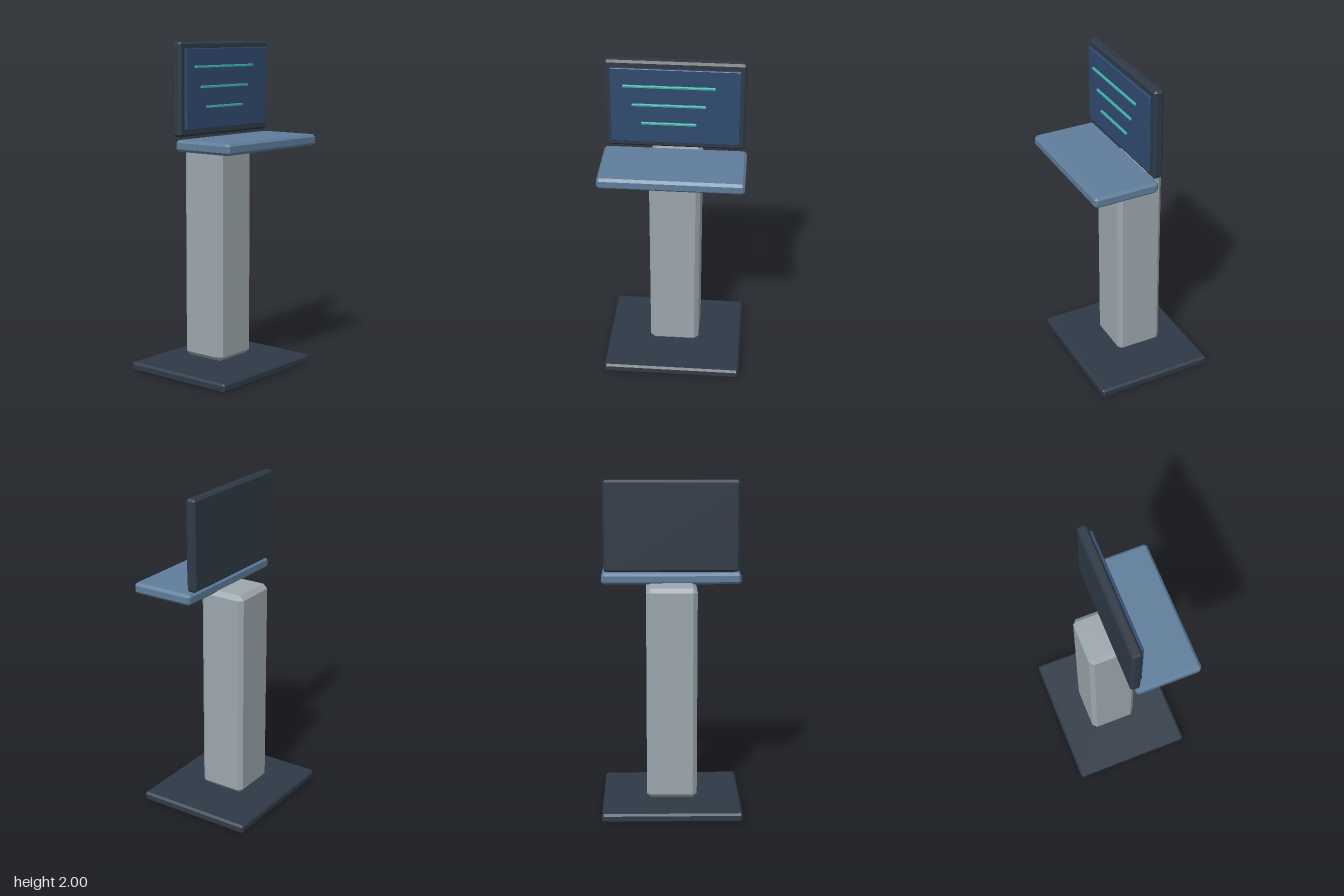
import * as THREE from 'three';
import { ConvexGeometry } from 'three/addons/geometries/ConvexGeometry.js';

// Box with every edge cut at 45 degrees, given by its ranges along x, y and z
function chamferedBox(name, color, [x0, x1], [y0, y1], [z0, z1], bevel) {
  const hx = (x1 - x0) / 2, hy = (y1 - y0) / 2, hz = (z1 - z0) / 2;
  const points = [];
  for (const sx of [-1, 1]) for (const sy of [-1, 1]) for (const sz of [-1, 1]) {
    // each corner becomes three points, one on each neighbouring face
    for (let face = 0; face < 3; face++) {
      const inset = [bevel, bevel, bevel];
      inset[face] = 0;
      points.push(new THREE.Vector3(
        sx * (hx - inset[0]), sy * (hy - inset[1]), sz * (hz - inset[2])));
    }
  }
  const material = new THREE.MeshStandardMaterial({ color });
  const mesh = new THREE.Mesh(new ConvexGeometry(points), material);
  mesh.name = name;
  mesh.position.set((x0 + x1) / 2, (y0 + y1) / 2, (z0 + z1) / 2);
  return mesh;
}

export function createModel() {
  const model = new THREE.Group();
  model.name = 'kiosk';
  const dark = 0x2f3a47, grey = 0x9ca7ae, blue = 0x5f7d9b, navy = 0x304b70, teal = 0x40b3aa;

  // Floor plate, pedestal and shelf
  model.add(chamferedBox('base', dark, [-0.42, 0.42], [0, 0.055], [-0.383, 0.35], 0.012));
  model.add(chamferedBox('post', grey, [-0.152, 0.152], [0.08, 1.382], [-0.192, 0.1], 0.026));
  model.add(chamferedBox('shelf', blue, [-0.42, 0.42], [1.373, 1.44], [-0.015, 0.383], 0.015));

  // Upright display
  const display = new THREE.Group();
  display.name = 'display';
  display.add(chamferedBox('displayFrame', dark, [-0.405, 0.405], [1.455, 2], [-0.047, 0.013], 0.013));
  display.add(chamferedBox('screen', navy, [-0.372, 0.372], [1.495, 1.962], [0.016, 0.032], 0.003));

  // Raised lines on the screen, shorter towards the bottom
  for (let i = 0; i < 3; i++) {
    const y = 1.856 - i * 0.117;
    display.add(chamferedBox('screenLine' + (i + 1), teal,
      [-0.3 + i * 0.052, 0.23 - i * 0.053], [y - 0.007, y + 0.007], [0.032, 0.045], 0.002));
  }
  model.add(display);
  return model;
}
